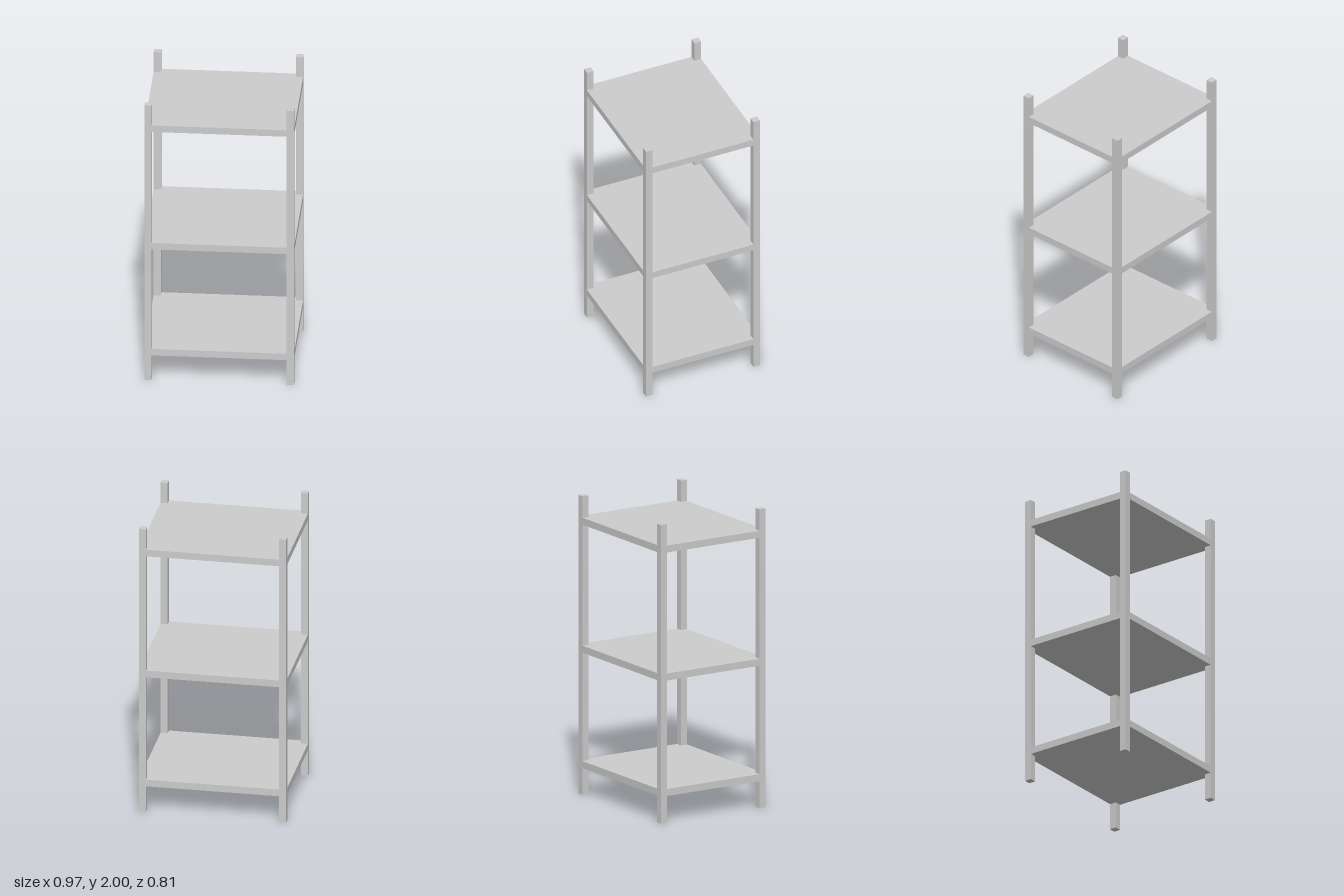
import * as THREE from 'three';

const HALF_W = 0.487, HALF_D = 0.407, HEIGHT = 2;
const POST = 0.047, SHELF = 0.047;

// Shelf board: rectangle with a square notch at each corner for the posts
function shelfGeometry() {
  const x = HALF_W, z = HALF_D, ix = x - POST, iz = z - POST;
  const outline = [
    [ix, -z], [ix, -iz], [x, -iz], [x, iz], [ix, iz], [ix, z],
    [-ix, z], [-ix, iz], [-x, iz], [-x, -iz], [-ix, -iz], [-ix, -z],
  ].map(([a, b]) => new THREE.Vector2(a, b));
  const geometry = new THREE.ExtrudeGeometry(new THREE.Shape(outline), { depth: SHELF, bevelEnabled: false });
  return geometry.rotateX(-Math.PI / 2);
}

export function createModel() {
  const group = new THREE.Group();
  group.name = 'shelvingUnit';
  const material = new THREE.MeshStandardMaterial({ color: 0xcccccc });

  const add = (name, geometry, x, y, z) => {
    const mesh = new THREE.Mesh(geometry, material);
    mesh.name = name;
    mesh.position.set(x, y, z);
    group.add(mesh);
  };

  // Four corner posts
  const post = new THREE.BoxGeometry(POST, HEIGHT, POST);
  for (const [side, sx] of [['Left', 1], ['Right', -1]]) {
    for (const [end, sz] of [['front', 1], ['back', -1]]) {
      add(`${end}${side}Post`, post, sx * (HALF_W - POST / 2), HEIGHT / 2, sz * (HALF_D - POST / 2));
    }
  }

  // Three shelves, flush with the outer faces of the posts
  const shelf = shelfGeometry();
  add('bottomShelf', shelf, 0, 0.18, 0);
  add('middleShelf', shelf, 0, 0.953, 0);
  add('topShelf', shelf, 0, 1.81, 0);

  return group;
}
